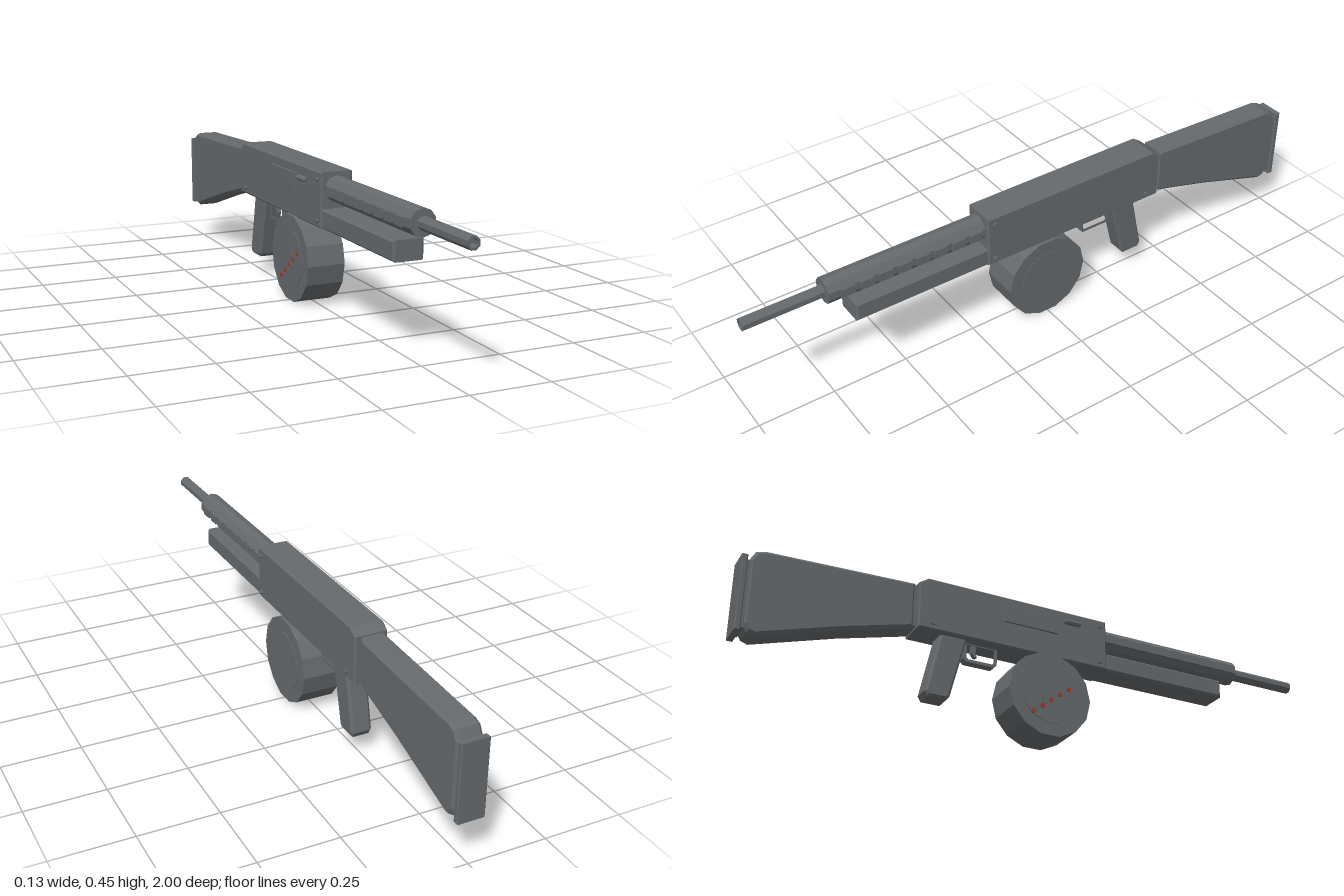
import * as THREE from 'three';

export function createModel() {
  const root = new THREE.Group();
  const metal = new THREE.MeshStandardMaterial({ color: 0x666a6d, flatShading: true });
  metal.name = 'gunmetal grey';
  const red = new THREE.MeshStandardMaterial({ color: 0xa03c24, flatShading: true });
  red.name = 'shell red';

  const add = (name, geometry, x = 0, y = 0, z = 0, material = metal) => {
    const mesh = new THREE.Mesh(geometry, material);
    mesh.name = name;
    mesh.position.set(x, y, z);
    root.add(mesh);
    return mesh;
  };
  // Side outline given as [z, y], extruded across x with a chamfered edge
  const profile = (points, halfWidth, bevel, hole) => {
    const shape = new THREE.Shape(points.map(p => new THREE.Vector2(...p)));
    if (hole) shape.holes.push(new THREE.Path(hole.map(p => new THREE.Vector2(...p))));
    const depth = 2 * (halfWidth - bevel);
    return new THREE.ExtrudeGeometry(shape, {
      depth, bevelEnabled: bevel > 0, bevelSize: bevel, bevelThickness: bevel,
      bevelOffset: -bevel, bevelSegments: 1,
    }).translate(0, 0, -depth / 2).rotateY(-Math.PI / 2);
  };
  // Cylinder lying along x
  const disc = (r, width, sides) => new THREE.CylinderGeometry(r, r, width, sides).rotateZ(Math.PI / 2);

  // Receiver
  add('receiver', profile([[0.215, 0.275], [0.215, 0.45], [-0.42, 0.45], [-0.45, 0.43], [-0.45, 0.275]], 0.053, 0.005));
  add('stockCollar', new THREE.BoxGeometry(0.07, 0.14, 0.03), 0, 0.352, -0.453);

  // Receiver pins on both sides
  for (const side of [-1, 1])
    for (const [y, z] of [[0.425, 0.19], [0.297, 0.19], [0.297, -0.4]])
      add('receiverPin', disc(0.007, 0.012, 8), side * 0.054, y, z);

  // Ejection port and charging handle
  add('ejectionPort', profile([[0.03, 0.36], [0.03, 0.42], [-0.16, 0.42], [-0.16, 0.36]], 0.004, 0.001), -0.055);
  const handle = new THREE.CapsuleGeometry(0.009, 0.045, 2, 8).rotateX(Math.PI / 2);
  add('chargingHandle', handle, -0.059, 0.411, 0.085);

  // Barrel with a hollow muzzle
  const barrel = [[0.02, 0.2], [0.02, 1], [0.013, 1], [0.013, 0.97], [0, 0.97]];
  add('barrel', new THREE.LatheGeometry(barrel.map(p => new THREE.Vector2(...p)), 8)
    .rotateY(Math.PI / 8).rotateX(Math.PI / 2), 0, 0.397);

  // Ten-sided shroud with side vents
  add('barrelShroud', new THREE.CylinderGeometry(0.041, 0.041, 0.55, 10).rotateX(Math.PI / 2), 0, 0.397, 0.47);
  for (const side of [-1, 1])
    for (let i = 0; i < 8; i++)
      add('shroudVent', new THREE.BoxGeometry(0.008, 0.028, 0.045), side * 0.0405, 0.395, 0.25 + i * 0.062);

  // Fore-end
  add('foreEnd', profile([[0.2, 0.275], [0.67, 0.275], [0.67, 0.337], [0.2, 0.337]], 0.048, 0.006));

  // Drum magazine with raised face plates and hubs
  add('drum', disc(0.143, 0.126, 14), 0, 0.1395, 0);
  for (const side of [-1, 1]) {
    add('drumFacePlate', disc(0.1, 0.004, 14), side * 0.063, 0.1395, 0);
    add('drumHub', disc(0.04, 0.006, 14), side * 0.063, 0.1395, 0);
  }
  // Row of shell indicators
  for (let i = 0; i < 5; i++)
    add('shellIndicator', disc(0.008, 0.008, 8), -0.064, 0.07 + i * 0.024, -0.06 + i * 0.031, red);

  // Pistol grip
  add('grip', profile([[-0.275, 0.285], [-0.328, 0.075], [-0.338, 0.063], [-0.4, 0.063], [-0.41, 0.08], [-0.365, 0.285]], 0.034, 0.008));

  // Trigger guard and trigger
  add('triggerGuard', profile(
    [[-0.165, 0.28], [-0.165, 0.222], [-0.175, 0.212], [-0.27, 0.212], [-0.28, 0.222], [-0.28, 0.28]], 0.014, 0,
    [[-0.176, 0.272], [-0.176, 0.227], [-0.181, 0.222], [-0.264, 0.222], [-0.269, 0.227], [-0.269, 0.272]]));
  add('trigger', profile([[-0.232, 0.28], [-0.236, 0.25], [-0.231, 0.237], [-0.24, 0.237], [-0.25, 0.25], [-0.25, 0.28]], 0.007, 0));

  // Stock and butt plate
  add('stock', profile([
    [-0.457, 0.275], [-0.457, 0.43], [-0.93, 0.414], [-0.958, 0.405], [-0.975, 0.375],
    [-0.975, 0.165], [-0.962, 0.142], [-0.94, 0.134], [-0.68, 0.215],
  ], 0.041, 0.01));
  add('buttSpacer', new THREE.BoxGeometry(0.07, 0.22, 0.012), 0, 0.262, -0.978);
  add('buttPlate', profile([[-0.982, 0.138], [-0.982, 0.386], [-1, 0.386], [-1, 0.138]], 0.044, 0.003));

  return root;
}
